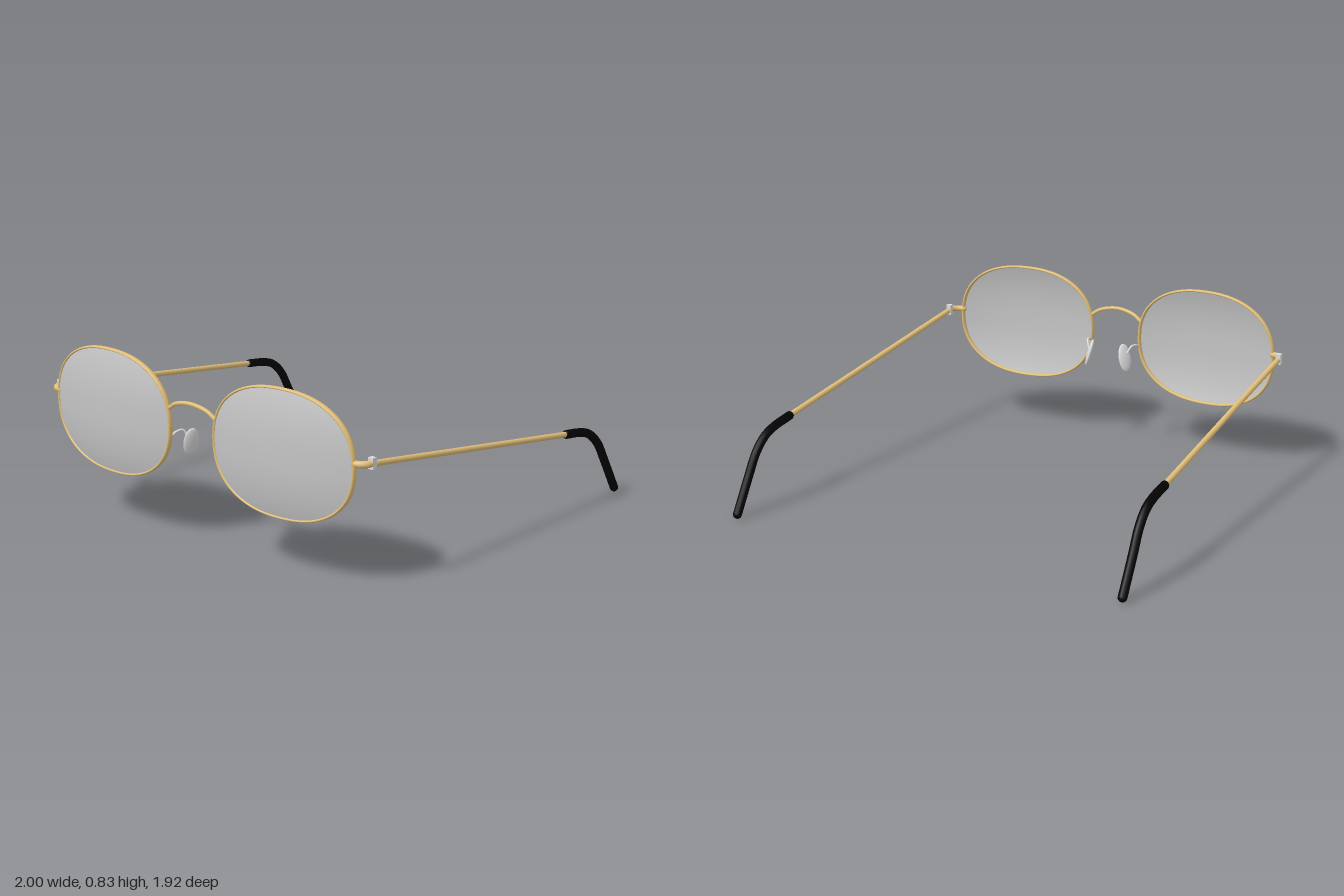
import * as THREE from 'three';

const GOLD = new THREE.MeshStandardMaterial({ name: 'gold metal', color: 0xe2bf78 });
const LENS = new THREE.MeshStandardMaterial({ name: 'grey lens', color: 0xc4c4c4, side: THREE.DoubleSide });
const SILVER = new THREE.MeshStandardMaterial({ name: 'silver', color: 0xdcdcdc });
const BLACK = new THREE.MeshStandardMaterial({ name: 'black tip', color: 0x030303 });

const CX = 0.497, CY = 0.547, RX = 0.366, RY = 0.282;

const V = (x, y, z) => new THREE.Vector3(x, y, z);

// Gentle wrap of the whole front
const wrapZ = (x) => 0.926 - 0.055 * x * x;

// Point on the rounded-oval lens plane, r = 0 centre, r = 1 rim
function lensPoint(side, angle, r, lift) {
  const power = (v) => Math.sign(v) * Math.pow(Math.abs(v), 2 / 2.3);
  const x = side * CX + RX * r * power(Math.cos(angle));
  const y = CY + RY * r * power(Math.sin(angle));
  return V(x, y, wrapZ(x) + lift);
}

// Moves every vertex of a geometry by a rule
function bend(geometry, rule) {
  const pos = geometry.attributes.position;
  for (let i = 0; i < pos.count; i++) {
    const p = rule(pos.getX(i), pos.getY(i), pos.getZ(i));
    pos.setXYZ(i, p.x, p.y, p.z);
  }
  geometry.computeVertexNormals();
  return geometry;
}

function add(parent, name, geometry, material) {
  const mesh = new THREE.Mesh(geometry, material);
  mesh.name = name;
  parent.add(mesh);
  return mesh;
}

// Round wire through points, with optional ball ends
function wire(parent, name, points, radius, material, { segments = 24, ends = false } = {}) {
  const group = new THREE.Group();
  group.name = name;
  const curve = new THREE.CatmullRomCurve3(points, false, 'centripetal');
  add(group, name + 'Tube', new THREE.TubeGeometry(curve, segments, radius, 12), material);
  if (ends) {
    for (const p of [points[0], points[points.length - 1]]) {
      add(group, name + 'End', new THREE.SphereGeometry(radius, 12, 8), material).position.copy(p);
    }
  }
  parent.add(group);
}

function createSide(side) {
  const group = new THREE.Group();
  group.name = side > 0 ? 'leftSide' : 'rightSide';
  const P = (x, y, z) => V(side * x, y, z);

  // Rim: thin radially, deeper front to back
  const ring = new THREE.TorusGeometry(1, 0.1, 12, 128);
  add(group, 'rim', bend(ring, (x, y, z) =>
    lensPoint(side, Math.atan2(y, x), 1 + (Math.hypot(x, y) - 1) * 0.2, z * 0.135)), GOLD);

  // Domed lens, bent from a flat disc
  const disc = new THREE.RingGeometry(0, 1, 72, 14);
  add(group, 'lens', bend(disc, (x, y) => {
    const r = Math.hypot(x, y);
    return lensPoint(side, Math.atan2(y, x), r, 0.006 + 0.037 * (1 - Math.pow(r, 2.4)));
  }), LENS);

  // End piece curving back to the hinge
  wire(group, 'endPiece', [P(0.862, 0.572, 0.884), P(0.888, 0.572, 0.878),
    P(0.907, 0.572, 0.862), P(0.914, 0.572, 0.84)], 0.015, GOLD, { ends: true });
  add(group, 'hinge', new THREE.BoxGeometry(0.026, 0.05, 0.024), SILVER)
    .position.copy(P(0.915, 0.573, 0.832));

  // Temple arm and its hooked ear tip
  wire(group, 'temple', [P(0.915, 0.568, 0.81), P(0.967, 0.379, -0.53)], 0.0135, GOLD,
    { segments: 4, ends: true });
  wire(group, 'earTip', [P(0.967, 0.379, -0.53), P(0.97, 0.36, -0.65), P(0.972, 0.334, -0.72),
    P(0.975, 0.274, -0.787), P(0.978, 0.18, -0.845), P(0.98, 0.021, -0.94)], 0.0205, BLACK,
    { segments: 40, ends: true });

  // Nose pad on a thin curved arm
  wire(group, 'padArm', [P(0.135, 0.5, 0.918), P(0.13, 0.515, 0.885),
    P(0.122, 0.515, 0.855), P(0.104, 0.475, 0.835)], 0.0055, SILVER);
  const pad = add(group, 'nosePad', new THREE.SphereGeometry(1, 24, 16), SILVER);
  pad.scale.set(0.012, 0.07, 0.036);
  pad.position.copy(P(0.098, 0.46, 0.83));
  pad.rotation.set(0.12, side * 0.45, side * 0.24, 'ZXY');
  return group;
}

export function createModel() {
  const model = new THREE.Group();
  model.name = 'glasses';
  for (const side of [1, -1]) model.add(createSide(side));

  // Arched bridge
  wire(model, 'bridge', [V(-0.138, 0.628, 0.925), V(-0.09, 0.658, 0.93), V(0, 0.675, 0.936),
    V(0.09, 0.658, 0.93), V(0.138, 0.628, 0.925)], 0.0095, GOLD, { segments: 32 });
  return model;
}
